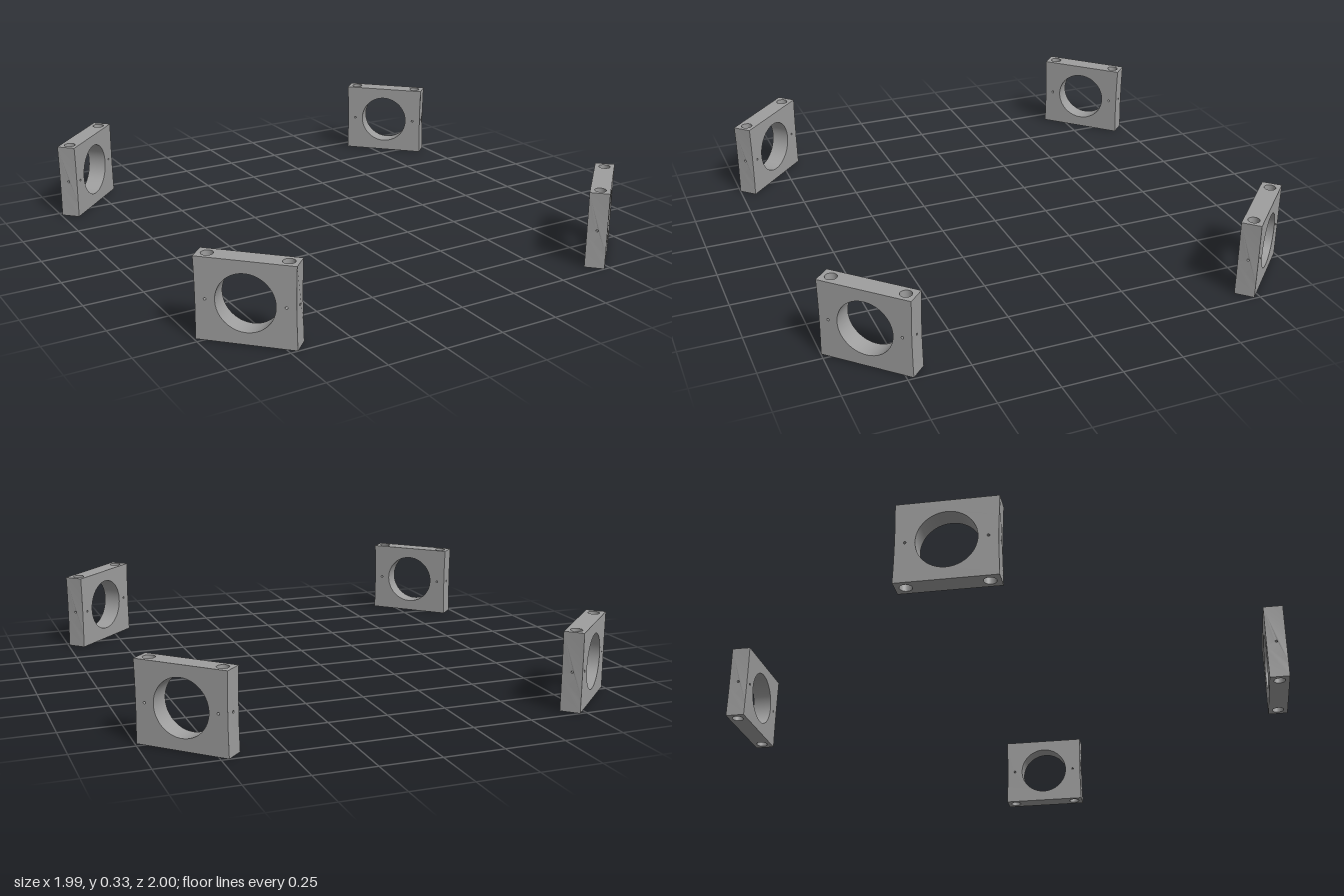
import * as THREE from 'three';
import { mergeGeometries } from 'three/addons/utils/BufferGeometryUtils.js';

const L = 0.388, H = 0.327, T = 0.082;         // plate length, height, thickness
const BORE = 0.115, BOLT = 0.024, BOLT_X = 0.153, PIN = 0.005;
const WAIST = 0.003;                           // slight hollow of the end faces

function circle(x, y, r) {
  return new THREE.Path().absarc(x, y, r, 0, Math.PI * 2, true);
}

// Inward-facing wall of a round hole running along y
function holeWall(r, length, sides) {
  const g = new THREE.CylinderGeometry(r, r, length, sides, 1, true);
  const index = g.index.array;
  for (let i = 0; i < index.length; i += 3) [index[i], index[i + 1]] = [index[i + 1], index[i]];
  const n = g.attributes.normal;
  for (let i = 0; i < n.count; i++) n.setXYZ(i, -n.getX(i), -n.getY(i), -n.getZ(i));
  return g;
}

function plateGeometry() {
  const x = L / 2, y = H / 2, z = T / 2, parts = [];

  // Broad faces with the large bore and two pinholes
  const face = new THREE.Shape();
  face.moveTo(-x, -y).lineTo(x, -y);
  face.quadraticCurveTo(x - 2 * WAIST, 0, x, y);
  face.lineTo(-x, y);
  face.quadraticCurveTo(-x + 2 * WAIST, 0, -x, -y);
  face.holes.push(circle(0, 0, BORE));
  for (const s of [-1, 1]) face.holes.push(circle(s * BOLT_X, 0, PIN));
  const broad = new THREE.ShapeGeometry(face, 32).translate(0, 0, z);
  parts.push(broad, broad.clone().rotateY(Math.PI));

  // Top and bottom faces with two bolt holes each
  const edge = new THREE.Shape();
  edge.moveTo(-x, -z).lineTo(x, -z).lineTo(x, z).lineTo(-x, z);
  for (const s of [-1, 1]) edge.holes.push(circle(s * BOLT_X, 0, BOLT));
  const top = new THREE.ShapeGeometry(edge, 16).rotateX(-Math.PI / 2).translate(0, y, 0);
  parts.push(top, top.clone().rotateX(Math.PI));

  // Slightly hollow end faces, each with a pinhole
  const outline = [];
  for (let i = 0; i <= 16; i++) outline.push(new THREE.Vector2(z, -y + H * i / 16));
  for (let i = 16; i >= 0; i--) outline.push(new THREE.Vector2(-z, -y + H * i / 16));
  const endShape = new THREE.Shape(outline);
  endShape.holes.push(circle(0, 0, PIN));
  const end = new THREE.ShapeGeometry(endShape, 16).rotateY(Math.PI / 2);
  const p = end.attributes.position;
  for (let i = 0; i < p.count; i++) p.setX(i, x - WAIST * (1 - (p.getY(i) / y) ** 2));
  end.computeVertexNormals();
  parts.push(end, end.clone().rotateY(Math.PI));

  // Walls of the bore, the bolt holes and the pinholes that meet them
  parts.push(holeWall(BORE, T, 64).rotateX(Math.PI / 2));
  const depth = z - BOLT, endDepth = x - WAIST - BOLT_X - BOLT;
  for (const s of [-1, 1]) {
    parts.push(holeWall(BOLT, H, 32).translate(s * BOLT_X, 0, 0));
    parts.push(holeWall(PIN, endDepth, 12).rotateZ(Math.PI / 2)
      .translate(s * (BOLT_X + BOLT + endDepth / 2), 0, 0));
    for (const t of [-1, 1]) {
      parts.push(holeWall(PIN, depth, 12).rotateX(Math.PI / 2)
        .translate(s * BOLT_X, 0, t * (BOLT + depth / 2)));
    }
  }
  return mergeGeometries(parts);
}

export function createModel() {
  const model = new THREE.Group();
  const material = new THREE.MeshStandardMaterial({ color: 0x9e9e9e });
  const geometry = plateGeometry();

  // One bored plate at each corner, facing diagonally outward
  for (const [name, sx, sz] of [
    ['frontLeftBracket', 1, 1], ['frontRightBracket', -1, 1],
    ['backLeftBracket', 1, -1], ['backRightBracket', -1, -1],
  ]) {
    const plate = new THREE.Mesh(geometry, material);
    plate.name = name;
    plate.position.set(sx * 0.828, H / 2, sz * 0.833);
    plate.rotation.y = Math.atan2(sx, sz);
    model.add(plate);
  }
  return model;
}
